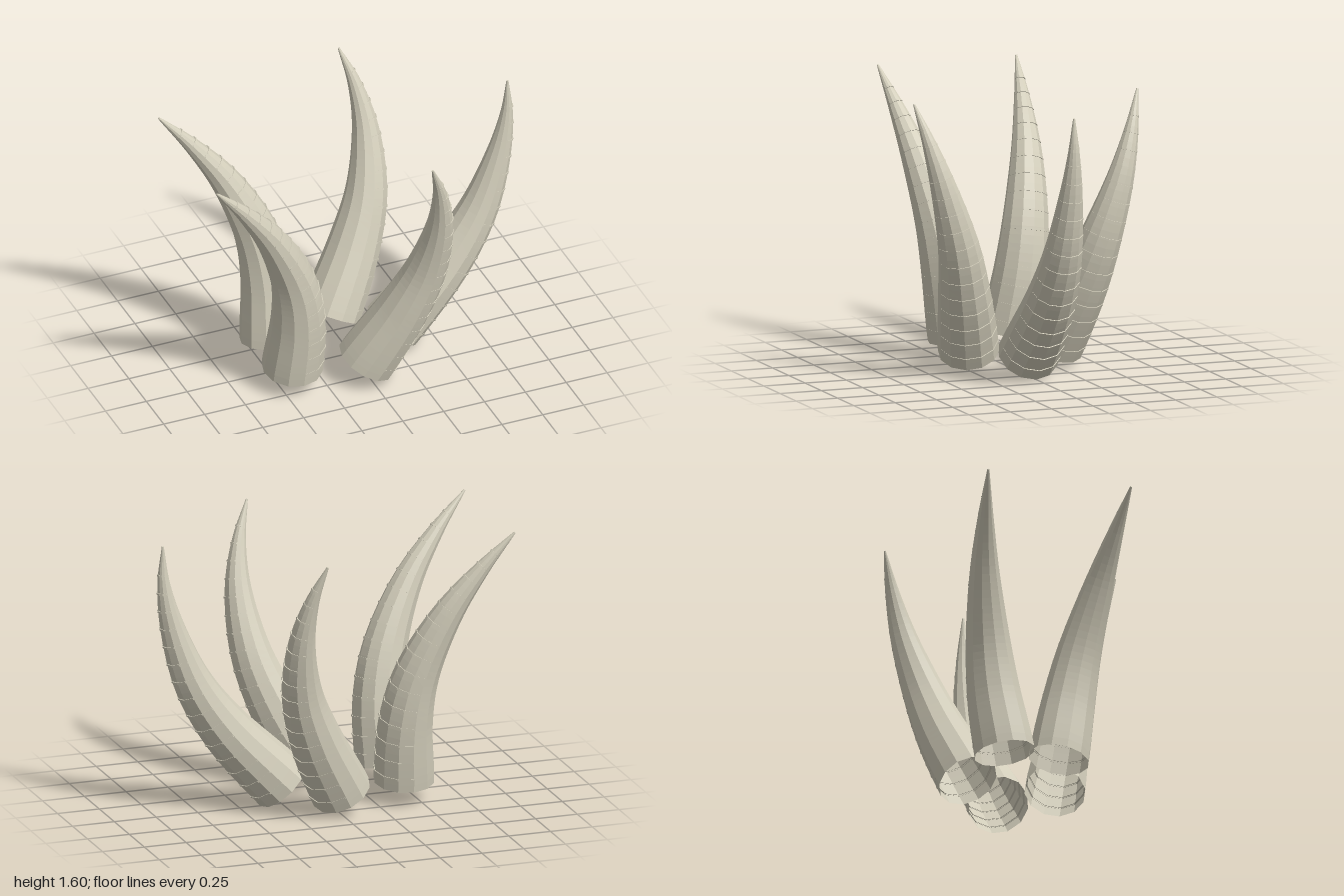
import * as THREE from 'three';

const SIDES = 12;
const bone = new THREE.MeshStandardMaterial({ color: 0xd2cdba, flatShading: true, side: THREE.DoubleSide });
bone.name = 'bone';

// Horn thickness along its length, u = 0 at the base and 1 at the tip
const radiusAt = (u) => 0.006 + 0.168 * (1 - Math.pow(u, 1.45));

// Sweep a twelve-sided section through stations of { u, r, shift };
// shift pushes the section towards the convex (+x) side
function sweep(curve, stations) {
  const pos = [], index = [];
  for (const { u, r, shift = 0 } of stations) {
    const p = curve.getPointAt(u), t = curve.getTangentAt(u);
    const n = new THREE.Vector3(1, 0, 0).addScaledVector(t, -t.x).normalize();
    const b = new THREE.Vector3().crossVectors(t, n);
    for (let j = 0; j < SIDES; j++) {
      const a = (j / SIDES) * Math.PI * 2;
      const v = p.clone().addScaledVector(n, r * Math.cos(a) + shift).addScaledVector(b, r * Math.sin(a));
      pos.push(v.x, v.y, v.z);
    }
  }
  for (let i = 0; i < stations.length - 1; i++) {
    for (let j = 0; j < SIDES; j++) {
      const a = i * SIDES + j, b = i * SIDES + (j + 1) % SIDES;
      index.push(a, b, a + SIDES, b, b + SIDES, a + SIDES);
    }
  }
  const geo = new THREE.BufferGeometry();
  geo.setAttribute('position', new THREE.Float32BufferAttribute(pos, 3));
  geo.setIndex(index);
  geo.computeVertexNormals();
  return geo;
}

function makeHorn(name, points) {
  const horn = new THREE.Group();
  horn.name = name;
  const curve = new THREE.CatmullRomCurve3(points);

  // Tapered body, open at the base and closed at the tip
  const stations = [];
  for (let i = 0; i <= 36; i++) stations.push({ u: i / 36, r: radiusAt(i / 36) });
  stations.push({ u: 1, r: 0 });
  const body = new THREE.Mesh(sweep(curve, stations), bone);
  body.name = 'hornBody';
  horn.add(body);

  // Fine growth ridges that stand out on the convex side only
  for (let k = 0; k < 15; k++) {
    const u = 0.045 + k * 0.061, u2 = u + 0.006;
    const r = radiusAt(u), shift = 0.005;
    const ridge = new THREE.Mesh(sweep(curve, [
      { u, r: r - 0.006, shift }, { u, r, shift }, { u: u2, r: radiusAt(u2), shift }, { u: u2, r: r - 0.008, shift },
    ]), bone);
    ridge.name = 'growthRidge';
    horn.add(ridge);
  }
  return horn;
}

export function createModel() {
  const model = new THREE.Group();
  model.name = 'hornCluster';

  // Centre lines share these heights and sideways spread
  const heights = [0.115, 0.48, 0.77, 1.115, 1.375, 1.59];
  const spread = [0.255, 0.354, 0.43, 0.535, 0.612, 0.675];
  const line = (xs, k) => xs.map((x, i) => new THREE.Vector3(x, heights[i], spread[i] * k));

  const end = [0.25, 0.59, 0.78, 0.905, 0.955, 0.96];
  const middle = [-0.015, 0.175, 0.28, 0.318, 0.285, 0.215];
  const outer = [-0.425, -0.415, -0.465, -0.62, -0.805, -0.995];

  model.add(makeHorn('endHorn', line(end, 0)));
  for (const [side, s] of [['front', 1], ['back', -1]]) {
    model.add(makeHorn(side + 'MiddleHorn', line(middle, s)));
    model.add(makeHorn(side + 'OuterHorn', line(outer, s * 0.62)));
  }
  return model;
}
